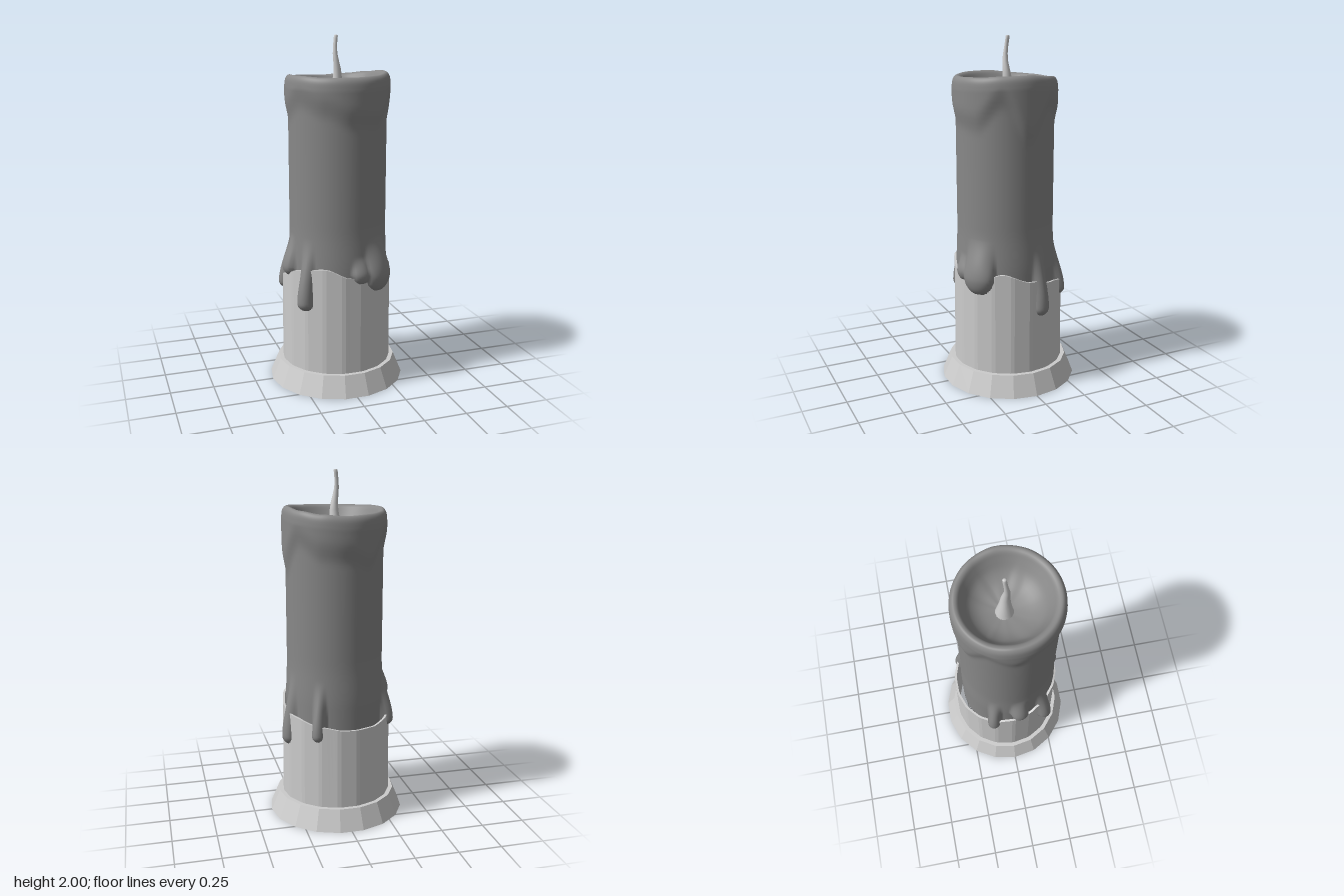
import * as THREE from 'three';

const { smoothstep, degToRad } = THREE.MathUtils;
const TAU = Math.PI * 2;

// Value at angle a (0 = front, 90 degrees = +x) from samples evenly spaced around the circle
function around(samples, a) {
  const n = samples.length;
  const t = ((((a / TAU) % 1) + 1) % 1) * n;
  const i = Math.floor(t) % n;
  const f = t - Math.floor(t);
  return THREE.MathUtils.lerp(samples[i], samples[(i + 1) % n], f * f * (3 - 2 * f));
}

// Closed rings of n points, joined from row to row; point(row, angle) gives [x, y, z]
function loft(rows, n, point) {
  const pos = [], idx = [];
  rows.forEach((row, i) => {
    for (let j = 0; j < n; j++) {
      pos.push(...point(row, (j / n) * TAU));
      if (i === rows.length - 1) continue;
      const a = i * n + j, b = i * n + ((j + 1) % n);
      idx.push(a, b, a + n, b, b + n, a + n);
    }
  });
  const g = new THREE.BufferGeometry();
  g.setAttribute('position', new THREE.Float32BufferAttribute(pos, 3));
  g.setIndex(idx);
  g.computeVertexNormals();
  return g;
}

// Heights every 30 degrees: holder edge, candle rim, lower edge of the melted lip
const HOLDER_EDGE = [0.68, 0.66, 0.71, 0.66, 0.63, 0.6, 0.58, 0.58, 0.6, 0.65, 0.71, 0.735];
const CANDLE_RIM = [1.785, 1.79, 1.8, 1.805, 1.79, 1.775, 1.765, 1.77, 1.775, 1.79, 1.79, 1.785];
const LIP_EDGE = [1.5, 1.48, 1.6, 1.4, 1.58, 1.52, 1.52, 1.46, 1.6, 1.52, 1.6, 1.56];

// Wax drips: angle, bottom, top, half width, outer radius
const DRIPS = [
  [33, 0.58, 0.92, 0.105, 0.362],
  [10, 0.64, 0.8, 0.06, 0.337],
  [-51, 0.48, 0.9, 0.052, 0.366],
  [-82, 0.65, 0.9, 0.06, 0.335],
  [-113, 0.52, 0.88, 0.048, 0.342],
  [104, 0.44, 0.88, 0.055, 0.345],
  [147, 0.5, 0.86, 0.045, 0.338],
].map(([deg, ...rest]) => [degToRad(deg), ...rest]);

function waxRadius(a, y) {
  // Body is set slightly forward of the axis and swells at the lip and foot
  const lip = around(LIP_EDGE, a);
  const base = 0.277 + 0.018 * Math.cos(a) + 0.003 * Math.sin(a)
    + 0.02 * smoothstep(y, lip, lip + 0.14)
    + 0.008 * (1 - smoothstep(y, 0.7, 0.95));
  let r = base;
  for (const [angle, bottom, top, w, outer] of DRIPS) {
    const da = Math.atan2(Math.sin(a - angle), Math.cos(a - angle));
    const u = (da * 0.33) / w;
    const v = Math.max(0, (bottom + w - y) / w);
    const d2 = u * u + v * v;
    if (d2 >= 1) continue;
    const fade = 1 - smoothstep(y, bottom + w * 0.8, top);
    const soft = smoothstep(y, bottom + w, top);
    r = Math.max(r, base + (outer - base) * fade * Math.pow(1 - d2, 0.45 + 1.2 * soft));
  }
  return r;
}

// Candle: bottom cap, dense rows over the drips, side, rounded rim, melted bowl
function waxGeometry() {
  const rows = [{ y: 0.42, k: 0 }];
  for (let y = 0.42; y < 0.9; y += 0.01) rows.push({ y, k: 1 });
  for (let y = 0.9; y < 1.715; y += 0.027) rows.push({ y, k: 1 });
  const rim = new THREE.SplineCurve([
    [1, -0.07], [0.985, -0.03], [0.95, -0.008], [0.9, 0], [0.83, -0.01],
    [0.76, -0.045], [0.64, -0.1], [0.45, -0.14], [0.2, -0.16], [0, -0.163],
  ].map(([k, dy]) => new THREE.Vector2(k, dy)));
  for (const p of rim.getPoints(32)) rows.push({ y: 1.79 + p.y, k: Math.max(0, p.x) });
  return loft(rows, 180, ({ y, k }, a) => {
    const r = waxRadius(a, y) * k;
    const lift = (around(CANDLE_RIM, a) - 1.79) * smoothstep(y, 1.3, 1.62) * k;
    return [Math.sin(a) * r, y + lift, Math.cos(a) * r];
  });
}

// Holder tube: 18-sided thin wall with an uneven upper edge
function holderGeometry() {
  const step = TAU / 18;
  const rows = [[0.321, 0], [0.316, 1], [0.303, 1], [0.306, 0]];
  return loft(rows, 90, ([r, t], a) => {
    const off = (((a - step / 2) % step) + step) % step - step / 2;
    const rr = (r * Math.cos(step / 2)) / Math.cos(off);
    return [Math.sin(a) * rr, THREE.MathUtils.lerp(0.115, around(HOLDER_EDGE, a), t), Math.cos(a) * rr];
  });
}

// Wick: curved stem flaring into a small cone; rows are y, x, z, radius
function wickGeometry() {
  const rows = [
    [1.62, 0, 0, 0.05], [1.66, 0, 0, 0.042], [1.72, 0.004, 0.003, 0.03],
    [1.78, 0.007, 0.007, 0.024], [1.82, 0.004, 0.011, 0.02], [1.86, -0.003, 0.013, 0.016],
    [1.9, -0.008, 0.01, 0.013], [1.94, -0.007, 0.005, 0.011], [1.98, -0.002, 0.001, 0.011],
    [1.996, 0, 0, 0.011], [2, 0, 0, 0.007], [2, 0, 0, 0],
  ];
  return loft(rows, 14, ([y, x, z, r], a) => [x + Math.sin(a) * r, y, z + Math.cos(a) * r]);
}

export function createModel() {
  const group = new THREE.Group();
  const add = (name, geometry, options = {}) => {
    const material = new THREE.MeshStandardMaterial({ color: 0xcccccc, ...options });
    const mesh = new THREE.Mesh(geometry, material);
    mesh.name = name;
    group.add(mesh);
  };

  // Flared foot, open underneath
  const foot = [[0.395, 0], [0.345, 0.12], [0.314, 0.12]].map(([r, y]) => new THREE.Vector2(r, y));
  add('foot', new THREE.LatheGeometry(foot, 18, degToRad(10)), { flatShading: true, side: THREE.DoubleSide });

  add('holder', holderGeometry().toNonIndexed(), { flatShading: true, side: THREE.DoubleSide });
  add('wax', waxGeometry(), { color: 0x888888 });
  add('wick', wickGeometry());
  return group;
}
